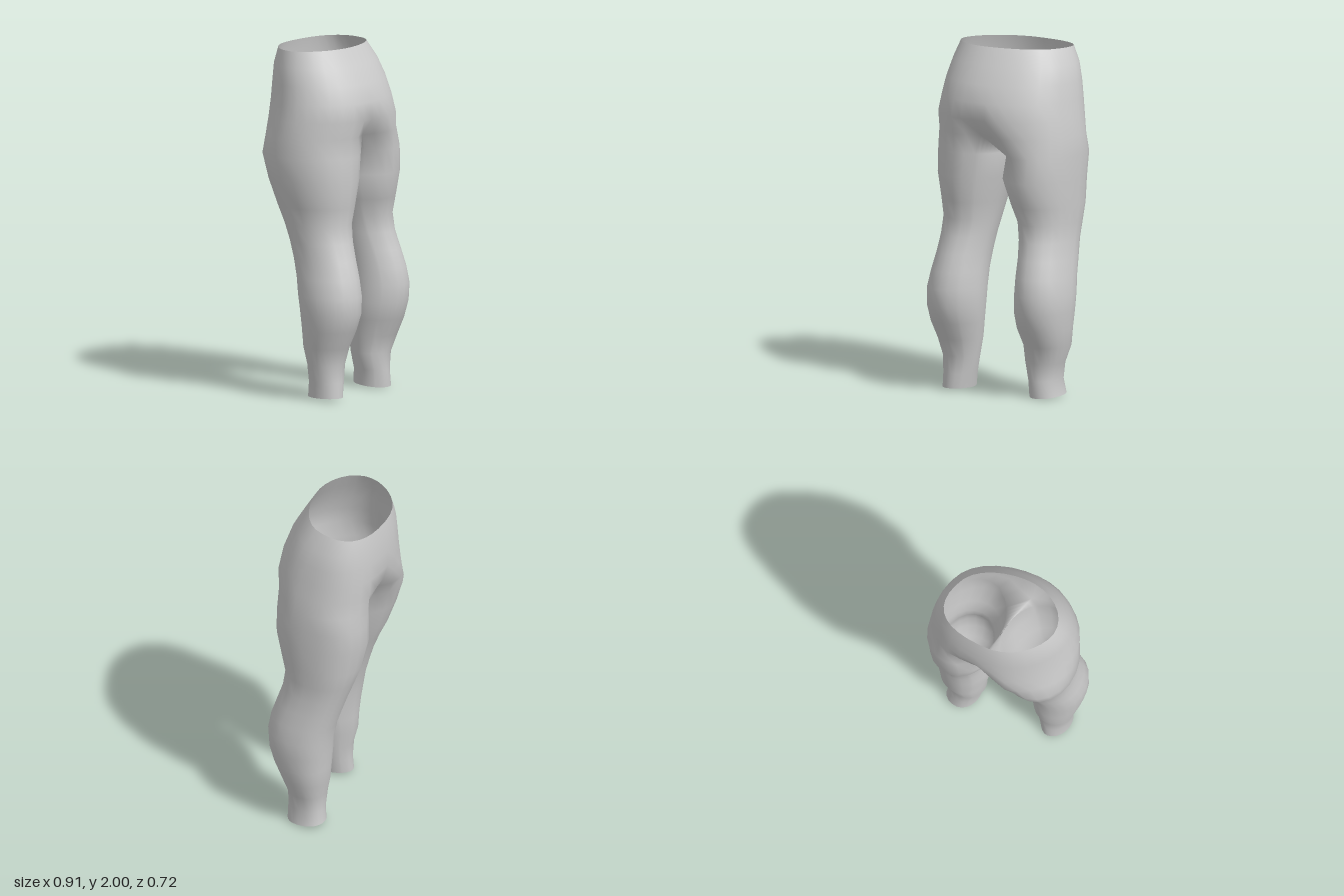
import * as THREE from 'three';

const M = 32;          // points around each ring
const H = M / 2;

// Hip rows: y, xMin, xMax, zMin, zMax, twist, centre cleft
const HIPS = [
  [1.992, -0.345, 0.285, -0.335, 0.15, 0.25, 0],
  [1.9, -0.38, 0.335, -0.35, 0.205, 0.2, 0],
  [1.8, -0.40, 0.362, -0.358, 0.26, 0.18, 0],
  [1.7, -0.415, 0.38, -0.363, 0.297, 0.16, 0.01],
  [1.6, -0.435, 0.397, -0.365, 0.317, 0.14, 0.08],
  [1.5, -0.45, 0.412, -0.365, 0.297, 0.11, 0.28],
];
// Leg rows: y, xMin, xMax, zMin, zMax
const RIGHT = [
  [1.39, -0.455, 0.028, -0.28, 0.28], [1.25, -0.44, 0.005, -0.24, 0.285],
  [1.1, -0.4, -0.03, -0.19, 0.27], [1.0, -0.38, -0.05, -0.145, 0.255],
  [0.9, -0.373, -0.065, -0.105, 0.275], [0.8, -0.372, -0.075, -0.075, 0.31],
  [0.7, -0.385, -0.075, -0.045, 0.342], [0.6, -0.4, -0.072, -0.025, 0.363],
  [0.5, -0.397, -0.075, -0.01, 0.363], [0.4, -0.385, -0.09, 0, 0.33],
  [0.3, -0.365, -0.11, 0.005, 0.28], [0.2, -0.345, -0.125, 0.03, 0.245],
  [0.1, -0.33, -0.145, 0.035, 0.25], [0.014, -0.33, -0.16, 0.03, 0.255],
];
const LEFT = [
  [1.39, 0.028, 0.42, -0.345, 0.205], [1.25, 0.005, 0.415, -0.335, 0.215],
  [1.1, 0.045, 0.412, -0.31, 0.17], [1.0, 0.085, 0.404, -0.28, 0.14],
  [0.9, 0.11, 0.407, -0.245, 0.15], [0.8, 0.13, 0.422, -0.215, 0.18],
  [0.7, 0.138, 0.438, -0.185, 0.21], [0.6, 0.14, 0.452, -0.165, 0.225],
  [0.5, 0.135, 0.448, -0.155, 0.22], [0.4, 0.14, 0.435, -0.145, 0.19],
  [0.3, 0.158, 0.42, -0.138, 0.14], [0.2, 0.158, 0.385, -0.112, 0.11],
  [0.1, 0.19, 0.365, -0.11, 0.112], [0.01, 0.195, 0.38, -0.12, 0.11],
];

// Ellipse-like section; shape = [roundness, extra roundness at the back left corner]
function ringPoint([y, x0, x1, z0, z1, twist, cleft = 0], angle, tilt, [base, corner]) {
  const power = base + corner * Math.cos(angle + Math.PI / 4);
  const soft = v => Math.sign(v) * Math.abs(v) ** power;
  const x = (x0 + x1) / 2 + soft(Math.cos(angle)) * (x1 - x0) / 2;
  let z = (z0 + z1) / 2 + soft(Math.sin(angle - twist)) * (z1 - z0) / 2;
  z *= 1 - cleft * (z < 0 ? 1.3 : 1) * Math.exp(-((x / 0.11) ** 2));
  return [x, y + tilt * Math.sin(angle), z];
}

function trousersGeometry() {
  const pos = [], index = [];
  const add = p => pos.push(...p) / 3 - 1;
  const bridge = (up, low) => {
    for (let i = 0; i < M; i++) {
      const j = (i + 1) % M;
      index.push(up[i], up[j], low[i], up[j], low[j], low[i]);
    }
  };

  // Waist to hips
  let ring;
  HIPS.forEach((row, r) => {
    const next = [];
    for (let i = 0; i < M; i++) {
      const a = -Math.PI / 2 + i / M * Math.PI * 2;
      next.push(add(ringPoint(row, a, r ? 0 : 0.008, [0.94, -0.12])));
    }
    if (ring) bridge(ring, next);
    ring = next;
  });

  // Crotch strip, shared by both legs, running from +z to -z
  const at = i => new THREE.Vector3().fromArray(pos, i * 3);
  const start = at(ring[H]), end = at(ring[0]);
  const crotch = [];
  for (let k = 1; k < H; k++) {
    const t = k / H, bow = Math.sin(Math.PI * t);
    const p = start.clone().lerp(end, t);
    crotch.push(add([p.x + 0.035 * bow, p.y - 0.06 * bow, p.z]));
  }

  // Legs: outer half of the hip ring plus the crotch strip, lofted to the ankle
  const spread = 0.75;   // how far the outer half wraps round the thigh
  const leg = (rows, top, turn, thighTwist, hemTilt, shape) => {
    let up = top;
    rows.forEach((row, r) => {
      const low = [];
      const twist = thighTwist * Math.max(0, 1 - r / 9);
      const tilt = r === rows.length - 1 ? hemTilt : 0;
      for (let i = 0; i < M; i++) {
        const a = i <= H
          ? -Math.PI / 2 - spread + (i / H) * (Math.PI + 2 * spread)
          : Math.PI / 2 + spread + (i / H - 1) * (Math.PI - 2 * spread);
        low.push(add(ringPoint([...row, twist], a + turn, tilt, shape)));
      }
      bridge(up, low);
      up = low;
    });
  };
  leg(LEFT, [...ring.slice(0, H + 1), ...crotch], 0, -0.03, -0.01, [0.94, -0.07]);
  leg(RIGHT, [...ring.slice(H), ring[0], ...crotch.slice().reverse()], Math.PI, -0.16, 0, [1.03, 0.07]);

  const geo = new THREE.BufferGeometry();
  geo.setAttribute('position', new THREE.Float32BufferAttribute(pos, 3));
  geo.setIndex(index);
  geo.computeVertexNormals();
  return geo;
}

export function createModel() {
  const group = new THREE.Group();
  const cloth = new THREE.MeshStandardMaterial({ color: 0xcccccc, side: THREE.DoubleSide });
  const trousers = new THREE.Mesh(trousersGeometry(), cloth);
  trousers.name = 'trousers';
  group.add(trousers);
  return group;
}
